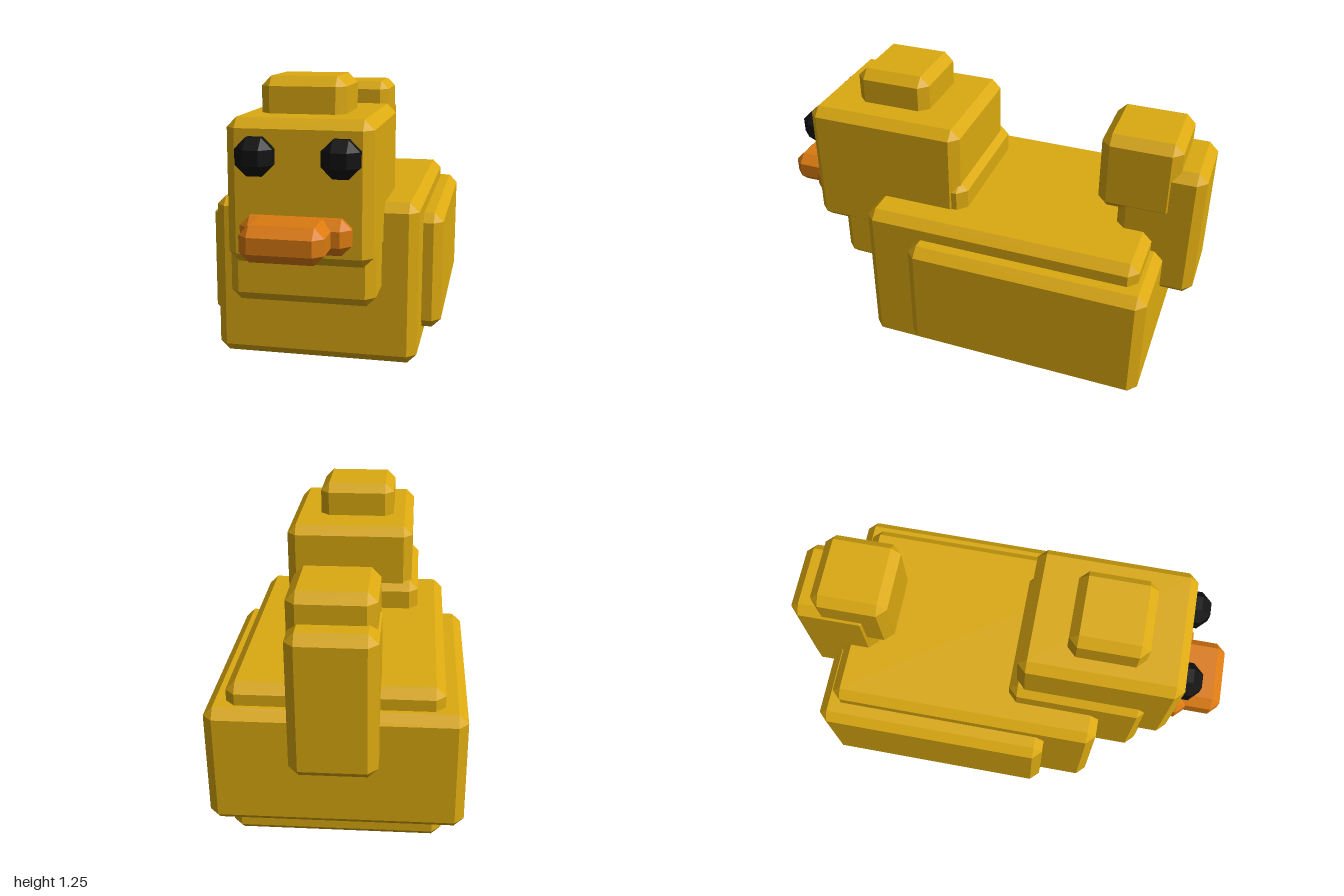
import * as THREE from 'three';
import { ConvexGeometry } from 'three/addons/geometries/ConvexGeometry.js';

// Box with bevelled edges, centred on the origin
function bevelBox(w, h, d, c) {
  const half = [w / 2, h / 2, d / 2];
  const points = [];
  for (const sx of [-1, 1]) for (const sy of [-1, 1]) for (const sz of [-1, 1]) {
    for (let full = 0; full < 3; full++) {
      const p = half.map((v, i) => (i === full ? v : v - c));
      points.push(new THREE.Vector3(p[0] * sx, p[1] * sy, p[2] * sz));
    }
  }
  return new ConvexGeometry(points);
}

export function createModel() {
  const yellow = new THREE.MeshStandardMaterial({ color: 0xdba910 });
  yellow.name = 'yellow';
  const orange = new THREE.MeshStandardMaterial({ color: 0xdb7a10 });
  orange.name = 'orange';
  const black = new THREE.MeshStandardMaterial({ color: 0x111111 });
  black.name = 'black';

  const duck = new THREE.Group();
  duck.name = 'duck';

  // Adds a block given its [min, max] along each axis
  function block(name, x, y, z, material = yellow, bevel = 0.04) {
    const mesh = new THREE.Mesh(bevelBox(x[1] - x[0], y[1] - y[0], z[1] - z[0], bevel), material);
    mesh.position.set((x[0] + x[1]) / 2, (y[0] + y[1]) / 2, (z[0] + z[1]) / 2);
    mesh.name = name;
    duck.add(mesh);
  }

  // Body with the wing slab running through it
  block('body', [-0.388, 0.502], [0, 0.715], [-0.785, 0.455]);
  block('wings', [-0.48, 0.588], [0.09, 0.625], [-0.842, 0.224]);

  // Breast, head and tuft
  block('breast', [-0.265, 0.35], [0.315, 0.84], [0.03, 0.656]);
  block('head', [-0.234, 0.356], [0.515, 1.1], [0.06, 0.777]);
  block('headTuft', [-0.138, 0.214], [0.9, 1.25], [0.257, 0.597]);

  // Tail
  block('tailBase', [-0.127, 0.227], [0.41, 1.03], [-0.98, -0.62]);
  block('tailTip', [-0.118, 0.233], [0.795, 1.15], [-0.87, -0.53]);

  // Beak: a wide root and a narrower tip
  block('beakRoot', [-0.169, 0.279], [0.575, 0.72], [0.6, 0.84], orange);
  block('beakTip', [-0.127, 0.205], [0.575, 0.72], [0.65, 0.995], orange);

  // Eyes
  for (const [name, x] of [['rightEye', -0.106], ['leftEye', 0.236]]) {
    block(name, [x - 0.076, x + 0.076], [0.878, 1.03], [0.704, 0.856], black, 0.045);
  }

  // The whole duck is turned slightly to its left
  duck.rotation.y = THREE.MathUtils.degToRad(10.5);
  const model = new THREE.Group();
  model.name = 'blockDuck';
  model.add(duck);
  return model;
}
